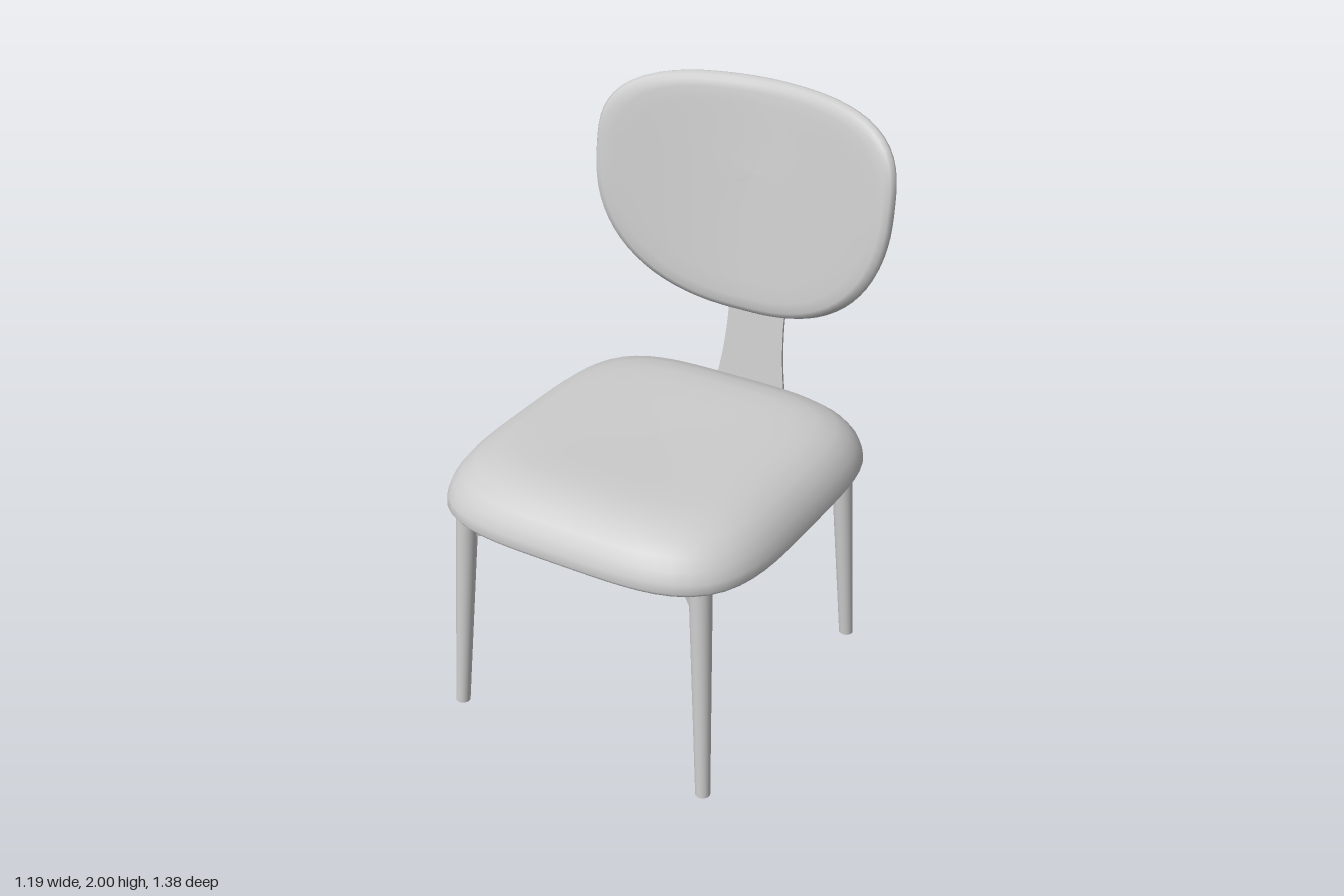
import * as THREE from 'three';

const SEG = 80;

// Smooth skin over closed rings; point(level, angle) returns [x, y, z]
function skin(levels, point) {
  const pos = [], index = [];
  levels.forEach((level) => {
    for (let j = 0; j < SEG; j++) pos.push(...point(level, (j / SEG) * Math.PI * 2));
  });
  for (let i = 0; i < levels.length - 1; i++) {
    for (let j = 0; j < SEG; j++) {
      const k = (j + 1) % SEG;
      const a = i * SEG + j, b = a + SEG, c = i * SEG + k, d = c + SEG;
      index.push(a, b, c, c, b, d);
    }
  }
  const g = new THREE.BufferGeometry();
  g.setAttribute('position', new THREE.Float32BufferAttribute(pos, 3));
  g.setIndex(index);
  g.computeVertexNormals();
  return g;
}

// Unit superellipse radius in a given direction
const radius = (c, s, n) => Math.pow(Math.abs(c) ** n + Math.abs(s) ** n, -1 / n);

function seatGeometry() {
  // [scale, height], underside to top; the repeated level keeps the lower edge crisp
  const levels = [[0, 0.775], [0.5, 0.775], [0.94, 0.776], [0.985, 0.786], [0.985, 0.786],
    [1, 0.8], [0.992, 0.83], [0.968, 0.865], [0.925, 0.9], [0.86, 0.933], [0.76, 0.956],
    [0.65, 0.965], [0.5, 0.966], [0.25, 0.962], [0, 0.96]];
  return skin(levels, ([s, y], t) => {
    const c = Math.cos(t), d = Math.sin(t), r = radius(c, d, 4) * s;
    return [c * r * 0.595, y, 0.057 + d * r * 0.628];
  });
}

function backrestGeometry() {
  // [scale, depth behind the front face]
  const levels = [[0, 0], [0.15, 0], [0.3, 0], [0.45, 0], [0.6, 0], [0.75, 0], [0.87, 0.001], [0.94, 0.007],
    [0.98, 0.02], [1, 0.045], [0.993, 0.065], [0.97, 0.085], [0.92, 0.107], [0.84, 0.122],
    [0.7, 0.13], [0.5, 0.131], [0.25, 0.131], [0, 0.131]];
  return skin(levels, ([s, depth], t) => {
    const c = Math.cos(t), d = Math.sin(t), top = d > 0;
    const r = radius(c, d, top ? 3.4 : 2.15) * s;
    const x = c * r * 0.573, y = 1.68 + d * r * (top ? 0.32 : 0.505);
    const rise = y - 1.2;
    const wrap = 0.13 * Math.pow(Math.abs(x) / 0.573, 1.6);
    return [x, y, -0.49 - 0.14 * rise + wrap - depth * (1 - 0.35 * rise)];
  });
}

// Spine plate outline, waisted and rounded at the top, with screw holes
function spineGeometry() {
  const s = new THREE.Shape();
  s.moveTo(-0.155, 0);
  s.lineTo(0.155, 0);
  s.bezierCurveTo(0.125, 0.12, 0.11, 0.25, 0.112, 0.38);
  s.bezierCurveTo(0.115, 0.52, 0.165, 0.62, 0.168, 0.76);
  s.bezierCurveTo(0.168, 0.87, 0.1, 0.917, 0, 0.917);
  s.bezierCurveTo(-0.1, 0.917, -0.168, 0.87, -0.168, 0.76);
  s.bezierCurveTo(-0.165, 0.62, -0.115, 0.52, -0.112, 0.38);
  s.bezierCurveTo(-0.11, 0.25, -0.125, 0.12, -0.155, 0);
  for (const [x, y] of [[-0.09, 0.81], [0.09, 0.81], [0, 0.44]]) {
    s.holes.push(new THREE.Path().absarc(x, y, 0.011, 0, Math.PI * 2, true));
  }
  return new THREE.ExtrudeGeometry(s, { depth: 0.01, bevelEnabled: false, curveSegments: 14 });
}

// Rectangular rail loop lying flat
function frameGeometry(w, d, thick, height) {
  const rect = (P, a, b) => new P([[-a, -b], [a, -b], [a, b], [-a, b]].map(([x, y]) => new THREE.Vector2(x, y)));
  const s = rect(THREE.Shape, w, d);
  s.holes.push(rect(THREE.Path, w - thick, d - thick));
  return new THREE.ExtrudeGeometry(s, { depth: height, bevelEnabled: false }).rotateX(-Math.PI / 2);
}

// Tapered leg, sheared so that its foot stays flat on the floor
function legGeometry(top, foot, height) {
  const g = new THREE.CylinderGeometry(0.038, 0.025, height, 28).translate(0, height / 2, 0);
  const lean = new THREE.Matrix4().makeBasis(
    new THREE.Vector3(1, 0, 0),
    new THREE.Vector3((top[0] - foot[0]) / height, 1, (top[1] - foot[1]) / height),
    new THREE.Vector3(0, 0, 1));
  return g.applyMatrix4(lean).translate(foot[0], 0, foot[1]);
}

export function createModel() {
  const model = new THREE.Group();
  model.name = 'chair';
  const grey = new THREE.MeshStandardMaterial({ color: 0xcccccc });
  grey.name = 'light grey';
  const add = (name, geometry) => {
    const m = new THREE.Mesh(geometry, grey);
    m.name = name;
    model.add(m);
    return m;
  };

  // Cushions
  add('seat', seatGeometry());
  add('backrest', backrestGeometry());

  // Spine plate and the foot that tucks under the seat
  const spine = add('backSpine', spineGeometry());
  spine.position.set(0, 0.778, -0.578);
  spine.rotation.x = -Math.atan2(0.115, 0.91);
  add('spineFoot', new THREE.BoxGeometry(0.31, 0.01, 0.19).translate(0, 0.773, -0.482));

  // Under-seat rails
  const railY = 0.68, railH = 0.098;
  add('railFrame', frameGeometry(0.36, 0.405, 0.045, railH)).position.set(0, railY, 0.055);

  // Legs, each joined to a rail corner by a diagonal stub
  for (const side of [-1, 1]) {
    for (const end of [1, -1]) {
      const name = (end > 0 ? 'front' : 'rear') + (side > 0 ? 'Left' : 'Right');
      const top = [side * 0.448, end > 0 ? 0.545 : -0.435];
      const foot = [side * 0.487, end > 0 ? 0.585 : -0.472];
      add(name + 'Leg', legGeometry(top, foot, 0.785));

      const corner = [side * 0.335, 0.055 + end * 0.38];
      const dx = top[0] - corner[0], dz = top[1] - corner[1];
      const stub = add(name + 'Stub', new THREE.BoxGeometry(Math.hypot(dx, dz), railH, 0.045));
      stub.position.set((top[0] + corner[0]) / 2, railY + railH / 2, (top[1] + corner[1]) / 2);
      stub.rotation.y = Math.atan2(-dz, dx);
    }
  }
  return model;
}
